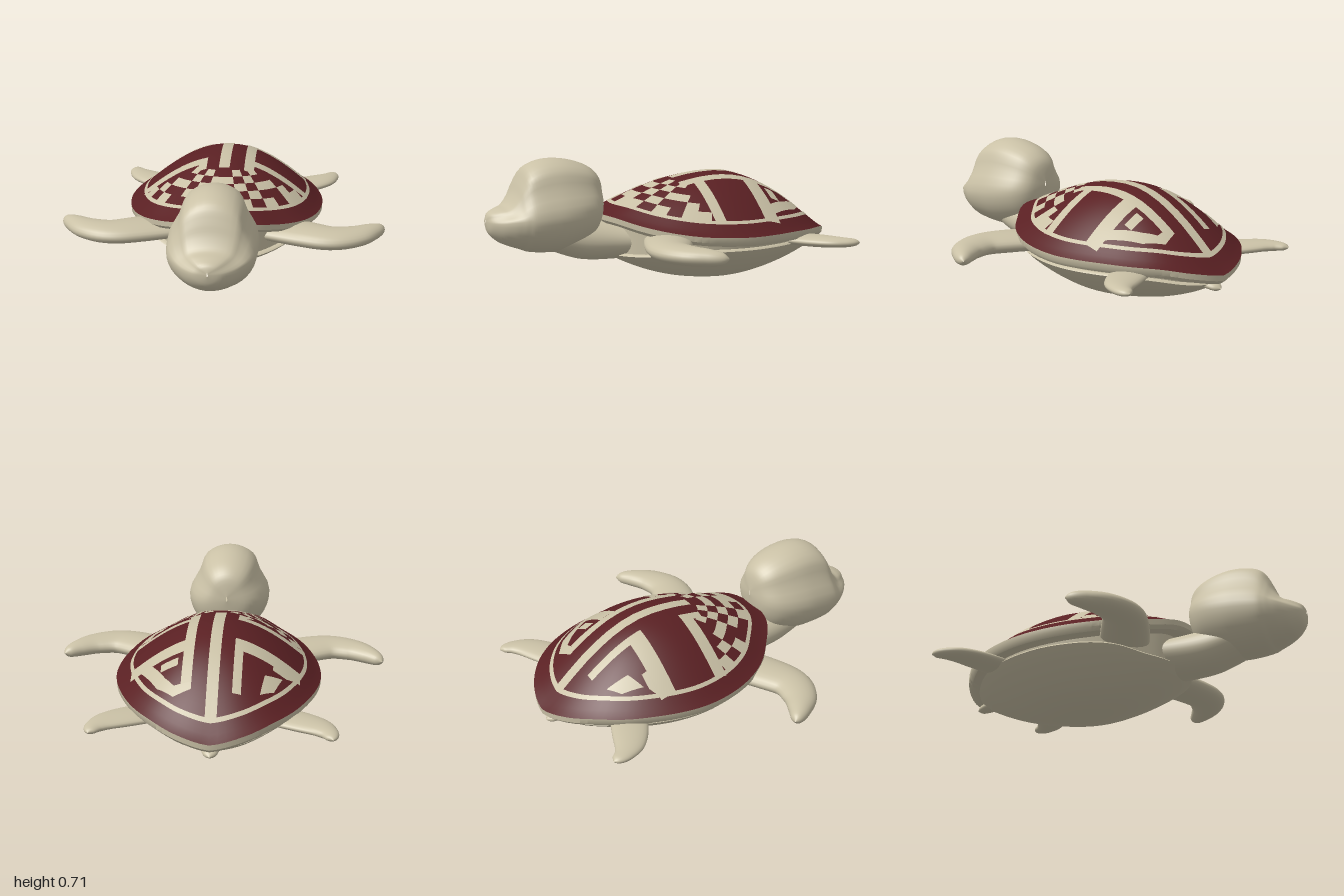
import * as THREE from 'three';
import { mergeGeometries, toCreasedNormals } from 'three/addons/utils/BufferGeometryUtils.js';

const cream = new THREE.MeshStandardMaterial({ color: 0xcac1a6 });
cream.name = 'cream';
const maroon = new THREE.MeshStandardMaterial({ color: 0x5a2023 });
maroon.name = 'maroon';

const TAU = Math.PI * 2;
const CZ = -0.32; // centre of the shell along z

// Smooth interpolation through evenly spaced values, t in 0..1
const spline = (vals) => {
  const c = new THREE.SplineCurve(vals.map((v, i) => new THREE.Vector2(i, v)));
  return (t) => c.getPoint(t).y;
};
const columns = (rows) => rows[0].map((_, k) => spline(rows.map((r) => r[k])));

// Shell outline, rim height and belly edge height, by angle from front to back
const outline = spline([0.70, 0.685, 0.64, 0.615, 0.585, 0.562, 0.55, 0.546, 0.556, 0.583, 0.617, 0.655, 0.68]);
const rim = spline([0.40, 0.395, 0.36, 0.335, 0.315, 0.305, 0.30, 0.30, 0.30, 0.295, 0.285, 0.255, 0.225]);
const edge = spline([0.165, 0.17, 0.18, 0.205, 0.215, 0.215, 0.215, 0.215, 0.215, 0.215, 0.20, 0.175, 0.16]);
const fold = (phi) => Math.abs(Math.atan2(Math.sin(phi), Math.cos(phi))) / Math.PI;
const domeY = (phi, s) => {
  const r = rim(fold(phi));
  return r + (0.595 - r) * Math.pow(Math.max(0, 1 - s * s), 1.2);
};
const ringPoint = (phi, s, y) => {
  const r = outline(fold(phi)) * s;
  return [r * Math.sin(phi), y, CZ + r * Math.cos(phi)];
};
const drape = (x, z) => {
  const phi = Math.atan2(x, z - CZ);
  return [x, domeY(phi, Math.hypot(x, z - CZ) / outline(fold(phi))) + 0.004, z];
};

// Surface grid from fn(u, v); faces point along v cross u
function grid(fn, nu, nv, wrap = false) {
  const pos = [], idx = [], w = wrap ? nu : nu + 1;
  for (let j = 0; j <= nv; j++) for (let i = 0; i < w; i++) pos.push(...fn(i / nu, j / nv));
  for (let j = 0; j < nv; j++) {
    for (let i = 0; i < nu; i++) {
      const a = j * w + i, b = j * w + ((i + 1) % w), c = a + w, d = b + w;
      idx.push(a, c, b, b, c, d);
    }
  }
  const g = new THREE.BufferGeometry();
  g.setAttribute('position', new THREE.Float32BufferAttribute(pos, 3));
  g.setIndex(idx);
  g.computeVertexNormals();
  return g;
}

// Rounded body along z from rows of [z, bottom, middle, top, half width], front to back
function loftZ(rows, pinch) {
  const [z, lo, mid, hi, w] = columns(rows);
  return grid((u, t) => {
    const a = u * TAU, s = Math.sin(a), lean = Math.asin(Math.max(0, s));
    const waist = lean < Math.PI / 3 ? 1 - pinch * Math.sin(3 * lean) ** 2 : 1;
    const y = mid(t) + s * (s > 0 ? hi(t) - mid(t) : mid(t) - lo(t));
    return [w(t) * Math.cos(a) * waist, y, z(t)];
  }, 40, 52, true);
}

// Flat limb along rows of [x, y, z, half width, half height]
function limb(rows, side) {
  const [x, y, z, w, h] = columns(rows);
  return grid((u, t) => {
    const a = u * TAU, t0 = Math.max(0, t - 0.01), t1 = Math.min(1, t + 0.01);
    const dx = side * (x(t1) - x(t0)), dz = z(t1) - z(t0), len = Math.hypot(dx, dz);
    const k = w(t) * Math.cos(a);
    return [side * x(t) - (dz / len) * k, y(t) + h(t) * Math.sin(a), z(t) + (dx / len) * k];
  }, 24, 36, true);
}

// Thin patches laid on the dome
const quad = ([ax, az, bx, bz, cx, cz, dx, dz]) => grid((u, v) => {
  const mix = (a, b, c, d) => (a * (1 - u) + b * u) * (1 - v) + (d * (1 - u) + c * u) * v;
  return drape(mix(ax, bx, cx, dx), mix(az, bz, cz, dz));
}, 10, 10);
const rect = ([x0, x1, z0, z1]) => quad([x0, z0, x1, z0, x1, z1, x0, z1]);
const sector = (p0, p1, s0, s1, n) => grid((u, v) => {
  const phi = p0 + (p1 - p0) * u, s = s0 + (s1 - s0) * v;
  return ringPoint(phi, s, domeY(phi, s) + 0.004);
}, n, 3);

function shellPattern() {
  const parts = [sector(0, TAU, 0.83, 0.862, 120)];
  // Straight bars and arms
  [
    [-0.03, 0.03, -0.9, -0.07],
    [0.11, 0.165, -0.72, -0.07],
    [-0.145, -0.1, -0.77, -0.53],
    [-0.44, -0.1, -0.53, -0.44],
    [0.165, 0.45, -0.53, -0.44],
    [-0.46, -0.1, -0.2, -0.13],
    [0.165, 0.46, -0.2, -0.14],
    [-0.145, -0.1, -0.13, -0.07],
    [0.19, 0.28, -0.61, -0.56],
  ].forEach((r) => parts.push(rect(r)));
  // Arch on the left and slanted pieces on the right
  [
    [0.11, -0.755, 0.2, -0.775, 0.2, -0.72, 0.11, -0.72],
    [0.2, -0.775, 0.29, -0.7, 0.25, -0.66, 0.2, -0.72],
    [0.25, -0.66, 0.29, -0.7, 0.39, -0.53, 0.33, -0.53],
    [-0.31, -0.69, -0.24, -0.74, -0.26, -0.62, -0.35, -0.58],
    [-0.37, -0.56, -0.3, -0.56, -0.3, -0.53, -0.42, -0.53],
  ].forEach((q) => parts.push(quad(q)));
  // Broken checker at the front, one string per ring
  const rows = ['00110100101100', '01001011010010', '10110100101101', '01001011010010', '10100101101011'];
  const span = 1.14, step = (2 * span) / 14;
  rows.forEach((row, j) => [...row].forEach((bit, i) => {
    const p = -span + i * step, s = 0.4 + j * 0.086;
    const z = ringPoint(p + step / 2, s + 0.04, 0)[2];
    if (bit === '1' && z > -0.1) parts.push(sector(p, p + step, s, s + 0.086, 6));
  }));
  return mergeGeometries(parts);
}

export function createModel() {
  const model = new THREE.Group();
  model.name = 'turtle';
  const add = (name, geo, mat = cream) => {
    const m = new THREE.Mesh(geo, mat);
    m.name = name;
    model.add(m);
  };

  // Upper shell and its markings
  add('shellDome', grid((u, v) => {
    const s = Math.max(0.001, v);
    return ringPoint(u * TAU, s, domeY(u * TAU, s));
  }, 96, 28, true), maroon);
  add('shellMarkings', shellPattern());

  // Rim below the shell and body wall: [scale, rim-to-belly blend, offset]
  const lip = [[1, 0, 0], [0.997, 0, -0.03], [0.965, 0, -0.05], [0.9, 0, -0.052], [0.87, 0, -0.056], [0.86, 1, 0]];
  add('shellRim', toCreasedNormals(grid((u, v) => {
    const [s, k, off] = lip[Math.round(v * (lip.length - 1))], f = fold(u * TAU);
    return ringPoint(u * TAU, s, rim(f) * (1 - k) + edge(f) * k + off);
  }, 96, lip.length - 1, true), 0.7));

  // Belly plate with a small raised edge
  const top = [[0.8, 0.015], [0.88, 0.015], [0.9, 0.004]], n = 18;
  add('bellyPlate', toCreasedNormals(grid((u, v) => {
    const j = Math.round(v * (n + 2)), e = edge(fold(u * TAU));
    if (j < 3) return ringPoint(u * TAU, top[j][0], e + top[j][1]);
    const t = Math.max(0.001, 1 - (j - 2) / n);
    return ringPoint(u * TAU, 0.9 * t, e * Math.pow(t, 2.2));
  }, 96, n + 2, true), 0.8));

  // Head with a brow above a blunt snout
  add('head', loftZ([
    [1.0, 0.38, 0.39, 0.40, 0.004], [0.985, 0.325, 0.388, 0.435, 0.07], [0.94, 0.28, 0.39, 0.457, 0.13],
    [0.89, 0.255, 0.40, 0.475, 0.175], [0.85, 0.24, 0.405, 0.53, 0.20], [0.82, 0.23, 0.41, 0.60, 0.215],
    [0.78, 0.215, 0.41, 0.67, 0.228], [0.70, 0.205, 0.42, 0.705, 0.235], [0.60, 0.205, 0.43, 0.71, 0.235],
    [0.50, 0.23, 0.44, 0.69, 0.215], [0.42, 0.27, 0.45, 0.655, 0.175], [0.37, 0.36, 0.46, 0.60, 0.11],
    [0.352, 0.47, 0.48, 0.50, 0.004],
  ], 0.15));
  add('neck', loftZ([
    [0.65, 0.21, 0.30, 0.40, 0.14], [0.48, 0.152, 0.26, 0.38, 0.155],
    [0.3, 0.14, 0.25, 0.36, 0.17], [0.1, 0.15, 0.25, 0.34, 0.2],
  ], 0));

  // Flippers and tail
  for (const [side, label] of [[1, 'left'], [-1, 'right']]) {
    add(label + 'FrontFlipper', limb([
      [0.22, 0.265, 0.03, 0.14, 0.05], [0.45, 0.27, 0.14, 0.128, 0.055], [0.6, 0.27, 0.19, 0.112, 0.054],
      [0.73, 0.27, 0.155, 0.092, 0.05], [0.82, 0.27, 0.085, 0.062, 0.044],
      [0.872, 0.268, 0.028, 0.034, 0.03], [0.89, 0.268, 0.002, 0.002, 0.002],
    ], side));
    add(label + 'HindFlipper', limb([
      [0.32, 0.235, -0.66, 0.1, 0.03], [0.45, 0.238, -0.73, 0.095, 0.032], [0.54, 0.24, -0.79, 0.08, 0.03],
      [0.59, 0.24, -0.85, 0.055, 0.026], [0.61, 0.24, -0.905, 0.032, 0.018], [0.615, 0.24, -0.93, 0.002, 0.002],
    ], side));
  }
  add('tail', limb([
    [0, 0.17, -0.8, 0.07, 0.025], [0, 0.165, -0.88, 0.055, 0.025],
    [0, 0.152, -0.95, 0.035, 0.02], [0, 0.148, -0.98, 0.002, 0.002],
  ], 1));
  return model;
}
